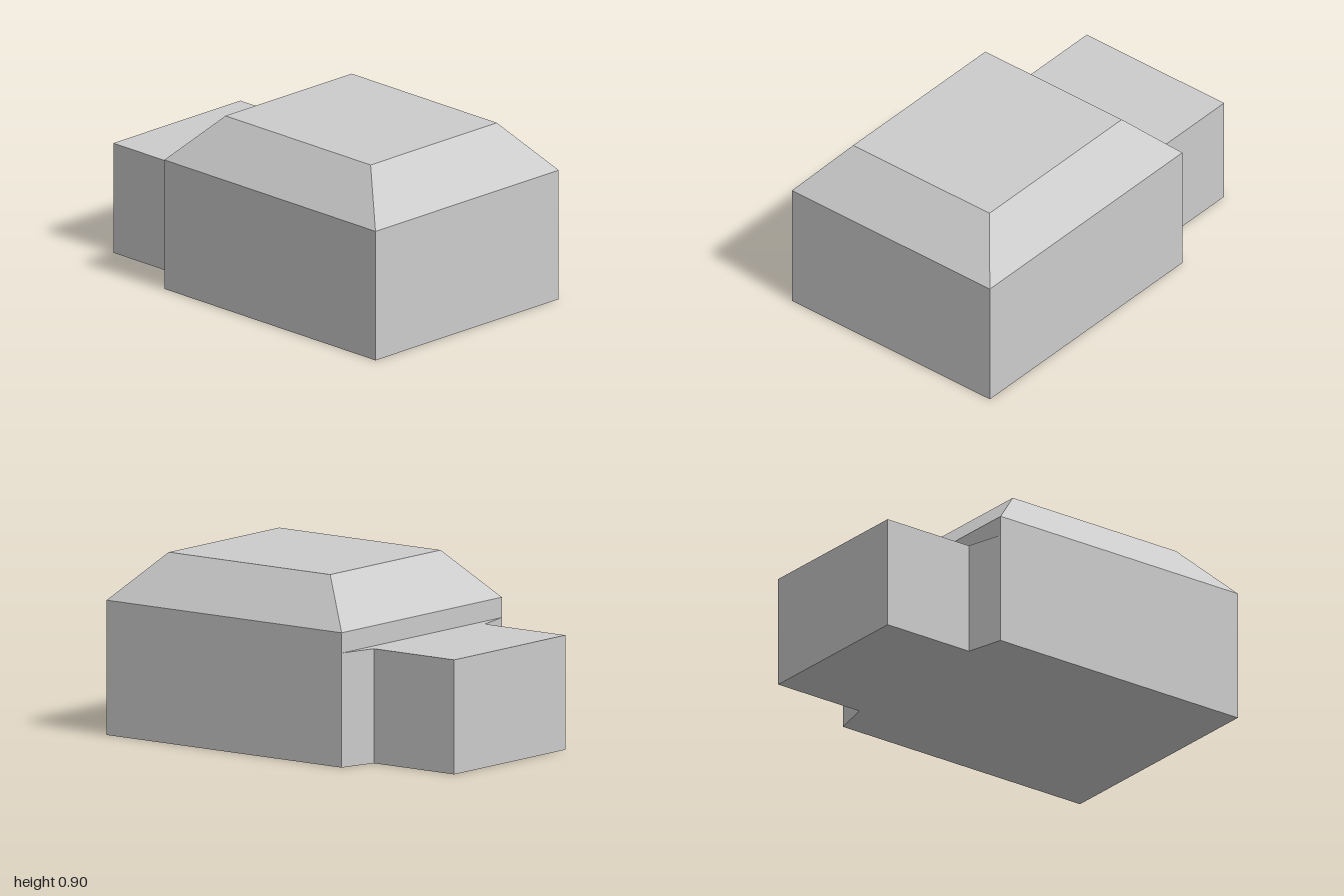
import * as THREE from 'three';

const material = new THREE.MeshStandardMaterial({ color: 0xcccccc, flatShading: true });

// Closed solid lofted through rectangular rings, each { y, x0, x1, z }
function loftRings(rings) {
  const positions = [];
  const corners = rings.map(({ y, x0, x1, z }) => [[x0, y, z], [x1, y, z], [x1, y, -z], [x0, y, -z]]);
  const quad = (a, b, c, d) => positions.push(...a, ...b, ...c, ...a, ...c, ...d);
  for (let r = 0; r < corners.length - 1; r++) {
    for (let i = 0; i < 4; i++) {
      const j = (i + 1) % 4;
      quad(corners[r][i], corners[r][j], corners[r + 1][j], corners[r + 1][i]);
    }
  }
  const [a, b, c, d] = corners[0];
  quad(d, c, b, a);
  quad(...corners[corners.length - 1]);
  const geometry = new THREE.BufferGeometry();
  geometry.setAttribute('position', new THREE.Float32BufferAttribute(positions, 3));
  geometry.computeVertexNormals();
  return geometry;
}

export function createModel() {
  const group = new THREE.Group();
  const add = (name, geometry) => {
    const mesh = new THREE.Mesh(geometry, material);
    mesh.name = name;
    group.add(mesh);
  };

  // Main block with a flat-topped hipped roof
  add('mainBlockWithRoof', loftRings([
    { y: 0, x0: -0.455, x1: 1, z: 0.627 },
    { y: 0.665, x0: -0.455, x1: 1, z: 0.627 },
    { y: 0.9, x0: -0.23, x1: 0.77, z: 0.432 },
  ]));

  // Lower side wing that flares out where it meets the main block
  const half = [[-1, 0.435], [-0.502, 0.435], [-0.455, 0.627]];
  const outline = [...half, ...half.map(([x, z]) => [x, -z]).reverse()];
  const footprint = new THREE.Shape(outline.map(([x, z]) => new THREE.Vector2(x, z)));
  const wing = new THREE.ExtrudeGeometry(footprint, { depth: 0.565, bevelEnabled: false });
  wing.rotateX(-Math.PI / 2);
  add('sideWing', wing);

  return group;
}
